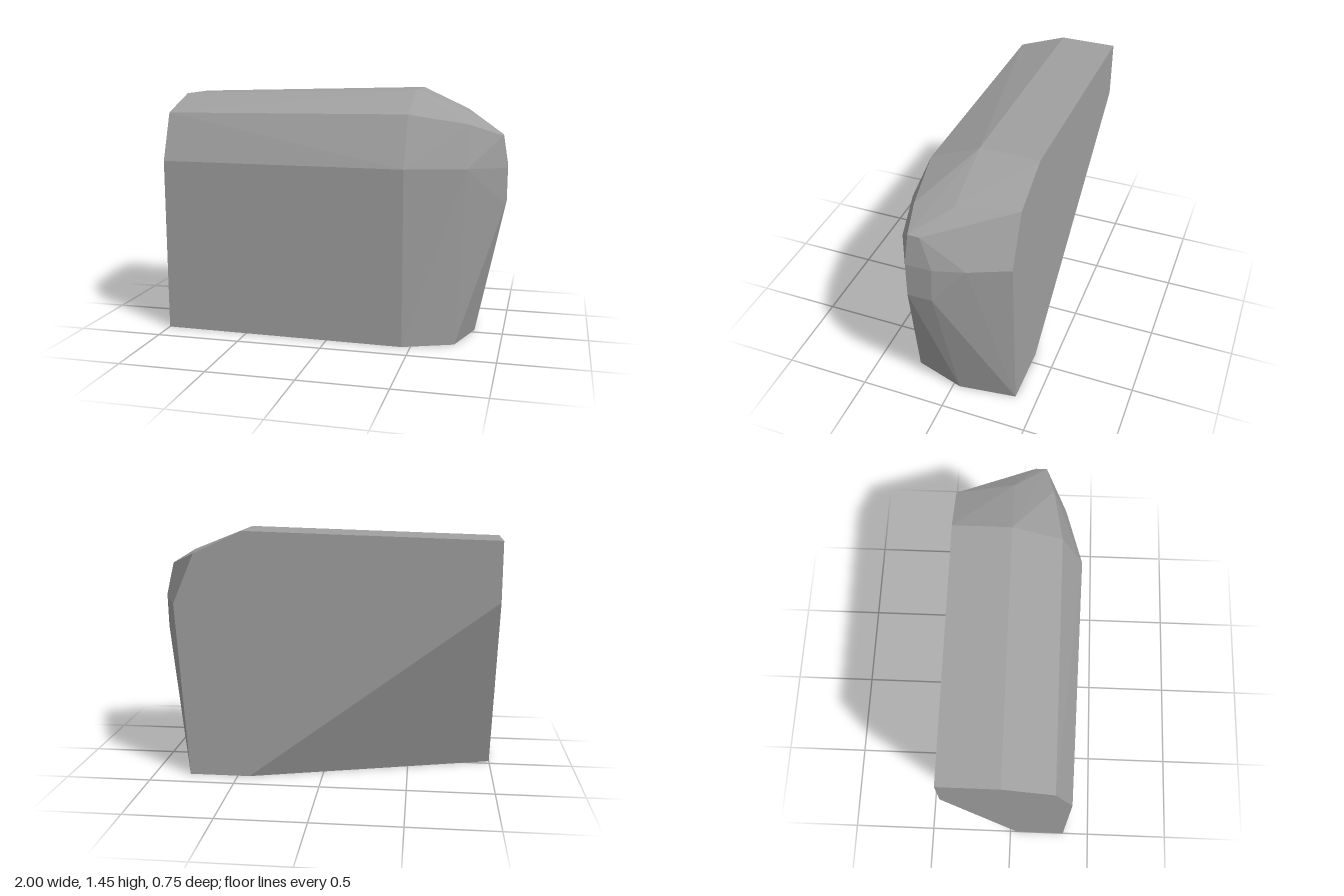
import * as THREE from 'three';
import { ConvexGeometry } from 'three/addons/geometries/ConvexGeometry.js';

export function createModel() {
  const group = new THREE.Group();
  group.name = 'rockBlock';
  const stone = new THREE.MeshStandardMaterial({ color: 0xa0a0a0 });
  stone.name = 'grey stone';

  // Corner points of the chiselled block, section by section along x
  const sections = [
    // straight end, undercut at the lower back
    [[-1, 0, 0.34], [-1, 1.03, 0.342], [-1, 1.31, 0.24], [-1, 1.41, -0.04], [-1, 1.41, -0.375], [-1, 1.07, -0.375], [-1, 0, 0.04]],
    // full-height section
    [[0.45, 0, 0.37], [0.45, 1.03, 0.375], [0.45, 1.325, 0.245], [0.45, 1.45, -0.04], [0.45, 1.45, -0.375], [0.43, 0, -0.375]],
    // shoulder
    [[0.79, 1.03, 0.275], [0.79, 1.27, 0.19], [0.8, 1.31, -0.04], [0.73, 1.32, -0.375], [0.855, 1.03, -0.375]],
    // foot of the rounded end
    [[0.74, 0, 0.255], [0.83, 0, -0.04], [0.787, 0, -0.375]],
    // nose
    [[0.975, 1.21, 0.145], [0.975, 1.21, 0.08], [1, 1.03, 0.16], [1, 1.03, 0.01], [1, 0.82, 0.16], [1, 0.82, 0.02], [0.95, 1.03, -0.16]],
  ];
  const points = sections.flat().map((p) => new THREE.Vector3(...p));

  // Faceted convex stone with flat normals
  const rock = new THREE.Mesh(new ConvexGeometry(points), stone);
  rock.name = 'rock';
  group.add(rock);
  return group;
}
